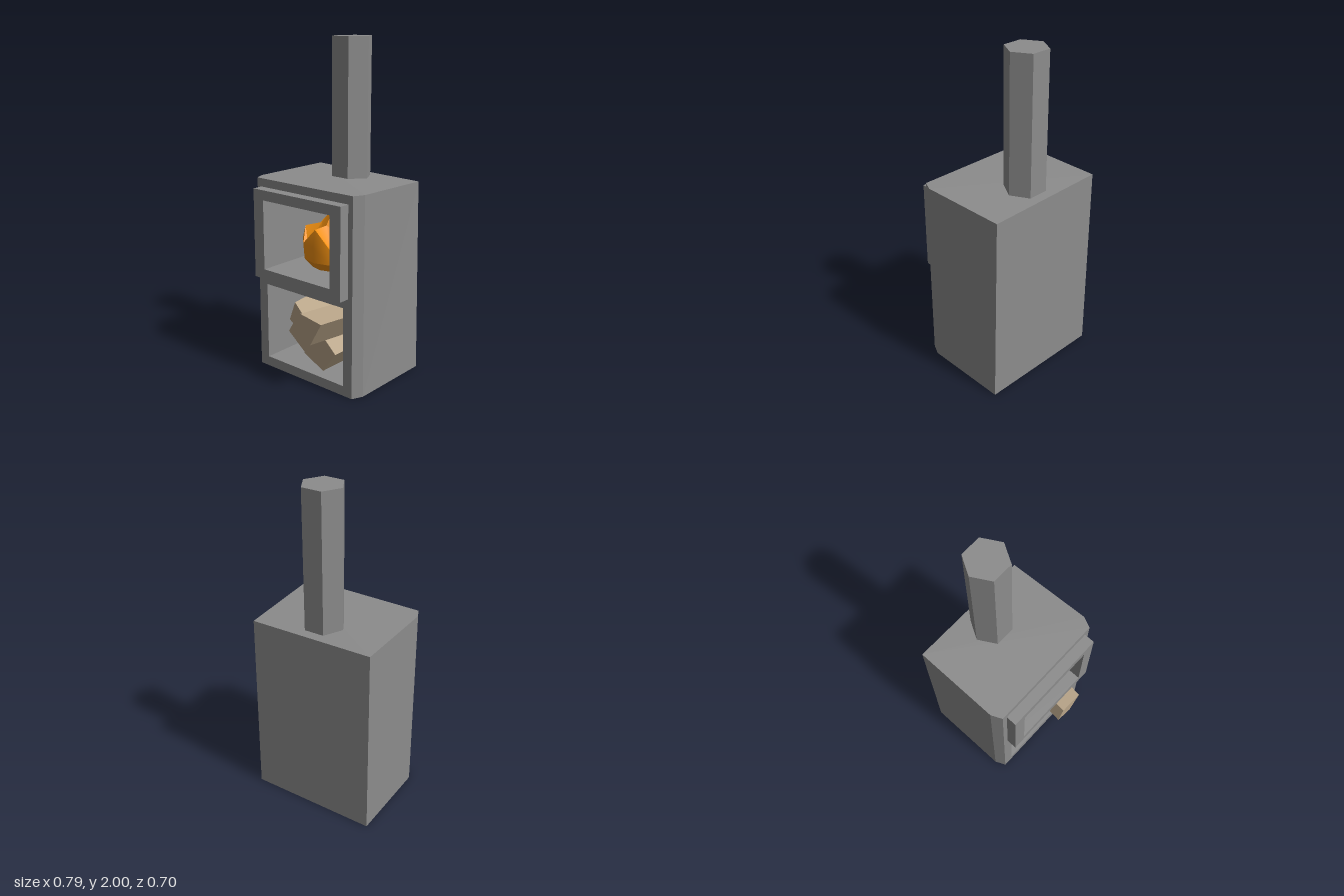
import * as THREE from 'three';
import { toCreasedNormals } from 'three/addons/utils/BufferGeometryUtils.js';

const iron = new THREE.MeshStandardMaterial({ color: 0x8c8c8c });
const wood = new THREE.MeshStandardMaterial({ color: 0xb8a488 });
const flame = new THREE.MeshStandardMaterial({ color: 0xf29010 });

// Flat-sided solid between two matching loops; can leave out caps or one wall
function loft(a, b, { capA = true, capB = true, skip = -1 } = {}) {
  const pts = [];
  const n = a.length;
  for (let i = 0; i < n; i++) {
    const j = (i + 1) % n;
    if (i !== skip) pts.push(a[i], a[j], b[j], a[i], b[j], b[i]);
  }
  for (let i = 1; i < n - 1; i++) {
    if (capA) pts.push(a[0], a[i + 1], a[i]);
    if (capB) pts.push(b[0], b[i], b[i + 1]);
  }
  const geo = new THREE.BufferGeometry();
  geo.setAttribute('position', new THREE.Float32BufferAttribute(pts.flat(), 3));
  geo.computeVertexNormals();
  return geo;
}

// Counter-clockwise corners of a rectangle
const rect = (w, y0, y1) => [[-w, y0], [w, y0], [w, y1], [-w, y1]];
const toVectors = (pts) => pts.map(([x, y]) => new THREE.Vector2(x, y));
const atZ = (pts, z, dx = 0, dy = 0) => pts.map(([x, y]) => [x + dx, y + dy, z]);

function panel(outer, holes) {
  const shape = new THREE.Shape(toVectors(outer));
  holes.forEach((h) => shape.holes.push(new THREE.Path(toVectors(h))));
  return shape;
}

// Crown of six flame tips around a central spike
function fireGeometry() {
  const n = 12, base = 0.655;
  const rings = [
    () => [0.145, base],
    () => [0.195, 0.71],
    () => [0.203, 0.81],
    (i) => (i % 2 ? [0.175, 0.805] : [0.185, i % 4 ? 0.89 : 0.91]),
    (i) => [0.085, i % 2 ? 0.895 : 0.915],
  ];
  const pos = [], idx = [];
  rings.forEach((ring) => {
    for (let i = 0; i < n; i++) {
      const [r, y] = ring(i);
      const t = (i / n) * Math.PI * 2;
      pos.push(r * Math.sin(t), y, r * Math.cos(t));
    }
  });
  const top = rings.length * n;
  pos.push(0, 1.037, 0, 0, base, 0);
  for (let i = 0; i < n; i++) {
    const j = (i + 1) % n;
    for (let k = 0; k < rings.length - 1; k++) {
      const a = k * n + i, b = k * n + j;
      // Diagonals mirror on either side of each tip
      if (i % 2) idx.push(a, b, b + n, a, b + n, a + n);
      else idx.push(a, b, a + n, b, b + n, a + n);
    }
    idx.push(top - n + i, top - n + j, top, j, i, top + 1);
  }
  const geo = new THREE.BufferGeometry();
  geo.setAttribute('position', new THREE.Float32BufferAttribute(pos, 3));
  geo.setIndex(idx);
  return toCreasedNormals(geo, 0.6);
}

export function createModel() {
  const model = new THREE.Group();
  const add = (name, geo, mat, parent = model) => {
    const mesh = new THREE.Mesh(geo, mat);
    mesh.name = name;
    parent.add(mesh);
    return mesh;
  };

  const H = 1.185, front = 0.235;
  const fireHole = rect(0.255, 0.655, 1.075);
  const woodHole = rect(0.3, 0.06, 0.535);

  // Stove body: chamfered front corners, one rear top corner knocked in
  const plan = [[-0.395, -0.355], [-0.395, 0.17], [-0.365, front],
    [0.365, front], [0.395, 0.17], [0.395, -0.355]];
  const bottom = plan.map(([x, z]) => [x, 0, z]);
  const top = plan.map(([x, z]) => [x, H, z]);
  top[5] = [0.375, 1.17, -0.355];
  add('body', loft(bottom, top, { skip: 2 }), iron);
  const face = new THREE.ShapeGeometry(panel(rect(0.365, 0, H), [fireHole, woodHole]));
  add('bodyFront', face.translate(0, 0, front), iron);

  // Open compartments behind the front
  for (const [name, hole] of [['fireChamber', fireHole], ['woodStore', woodHole]]) {
    add(name, loft(atZ(hole, front), atZ(hole, -0.3), { capA: false }), iron);
  }

  // Raised frame around the fire
  const frame = new THREE.ExtrudeGeometry(panel(rect(0.333, 0.595, 1.135), [fireHole]),
    { depth: 0.065, bevelEnabled: false });
  add('doorFrame', frame.translate(0, 0, front), iron);

  // Six-sided flue
  const flue = new THREE.CylinderGeometry(0.1225, 0.1225, 2 - 1.16, 6).toNonIndexed();
  flue.computeVertexNormals();
  flue.rotateY(Math.PI / 6).translate(0, (2 + 1.16) / 2, -0.19);
  add('chimney', flue, iron);

  add('fire', fireGeometry(), flame).position.z = -0.05;

  // Logs: front corners, front z, depth, drift of the far end
  const logs = new THREE.Group();
  logs.name = 'logs';
  model.add(logs);
  const logData = [
    [[[-0.295, 0.175], [-0.16, 0.07], [-0.01, 0.245], [-0.21, 0.315]], 0.06, 0.33, 0.02, 0.01],
    [[[-0.05, 0.14], [0.1, 0.07], [0.195, 0.2], [0.03, 0.355]], 0.18, 0.4, 0, 0],
    [[[-0.125, 0.35], [-0.04, 0.305], [0.015, 0.375], [-0.08, 0.47]], 0.225, 0.4, -0.07, -0.005],
    [[[0.035, 0.36], [0.15, 0.305], [0.232, 0.45], [0.075, 0.475]], 0.345, 0.42, 0.045, -0.015],
  ];
  logData.forEach(([quad, z, depth, dx, dy], i) => {
    add('log' + (i + 1), loft(atZ(quad, z - depth, dx, dy), atZ(quad, z)), wood, logs);
  });

  return model;
}
